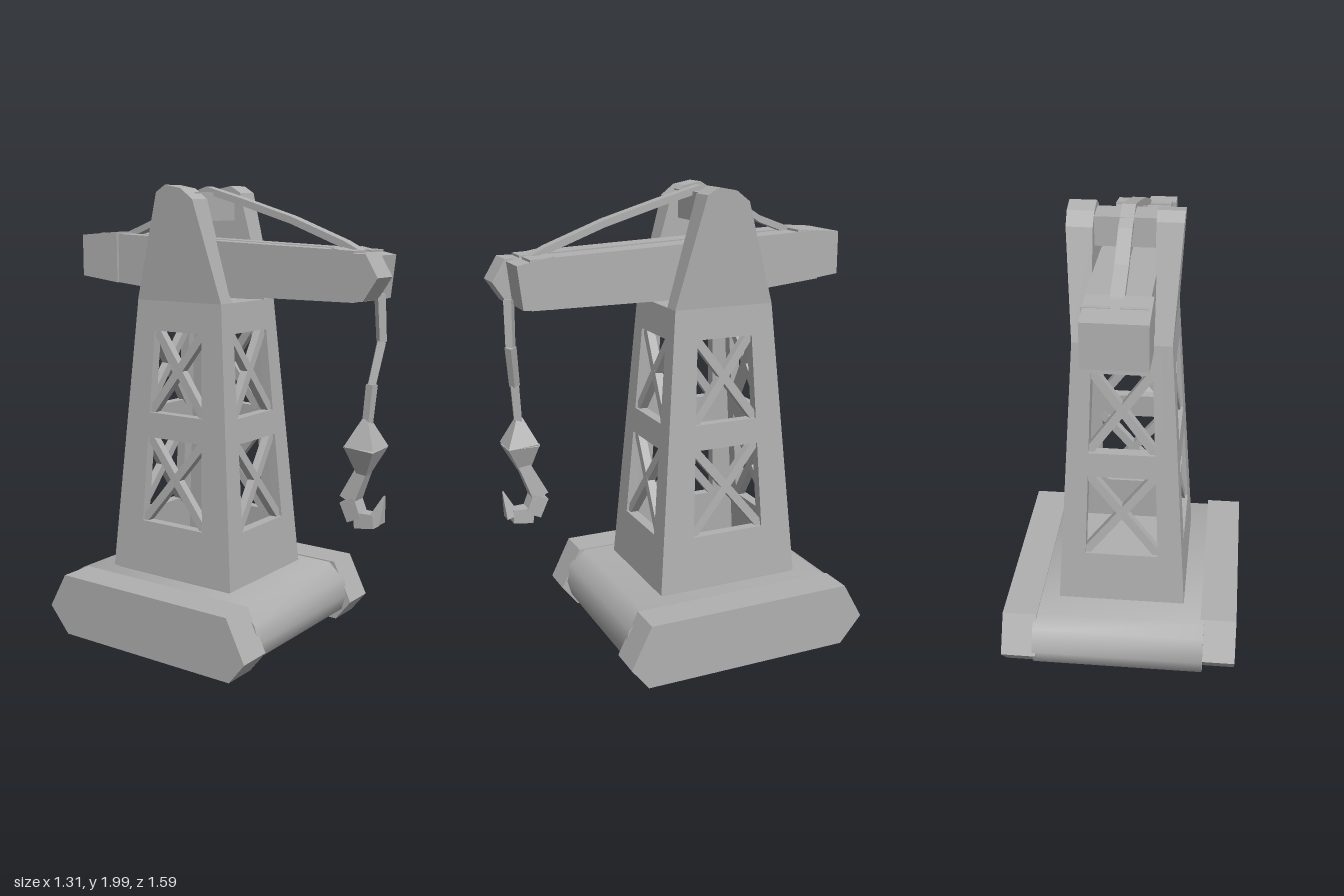
import * as THREE from 'three';
import { toCreasedNormals } from 'three/addons/utils/BufferGeometryUtils.js';

const steel = new THREE.MeshStandardMaterial({ color: 0xb0b0b0 });
steel.name = 'steel grey';

const V = (x, y, z) => new THREE.Vector3(x, y, z);

function add(parent, name, geometry) {
  const mesh = new THREE.Mesh(geometry, steel);
  mesh.name = name;
  parent.add(mesh);
  return mesh;
}

function flat(geometry) {
  const g = geometry.index ? geometry.toNonIndexed() : geometry;
  g.computeVertexNormals();
  return g;
}

// Side profile of [z, y] points, extruded across x
function prism(points, x0, x1) {
  const shape = new THREE.Shape(points.map(p => new THREE.Vector2(p[0], p[1])));
  const g = new THREE.ExtrudeGeometry(shape, { depth: x1 - x0, bevelEnabled: false });
  g.rotateY(-Math.PI / 2);
  g.translate(x1, 0, 0);
  return flat(g);
}

// Faceted, tapering bar between two points
function bar(a, b, r0, r1 = r0, sides = 4) {
  const dir = b.clone().sub(a);
  const g = new THREE.CylinderGeometry(r1, r0, dir.length(), sides);
  g.rotateY(Math.PI / 4);
  g.applyQuaternion(new THREE.Quaternion().setFromUnitVectors(V(0, 1, 0), dir.normalize()));
  const mid = a.clone().add(b).multiplyScalar(0.5);
  g.translate(mid.x, mid.y, mid.z);
  return flat(g);
}

// Tapered tower: centre, bottom and top heights, half sizes at each height
const CX = 0.028, CZ = -0.104, Y0 = 0.285, Y1 = 1.5;
const half = (y, wide) => {
  const t = (y - Y0) / (Y1 - Y0);
  return wide ? THREE.MathUtils.lerp(0.275, 0.2, t) : THREE.MathUtils.lerp(0.325, 0.224, t);
};

// Point on tower wall k: s runs -1..1 across, inset goes inward
function onWall(k, s, y, inset) {
  const p = V(s * half(y, k % 2 === 0), y, half(y, k % 2 === 1) - inset);
  return p.applyAxisAngle(V(0, 1, 0), k * Math.PI / 2).add(V(CX, 0, CZ));
}

function tower() {
  const group = new THREE.Group();
  group.name = 'tower';
  const windows = [[0.52, 0.9], [1.01, 1.37]];
  for (let k = 0; k < 4; k++) {
    const w = k % 2 ? 0.54 : 0.6;
    const rect = (s, a, b) => [[-s, a], [s, a], [s, b], [-s, b]].map(p => new THREE.Vector2(...p));
    const shape = new THREE.Shape(rect(1, Y0, Y1));
    for (const [a, b] of windows) shape.holes.push(new THREE.Path(rect(w, a, b)));
    const g = new THREE.ExtrudeGeometry(shape, { depth: 1, bevelEnabled: false });
    const pos = g.attributes.position;
    for (let i = 0; i < pos.count; i++) {
      const p = onWall(k, pos.getX(i), pos.getY(i), 0.045 * (1 - pos.getZ(i)));
      pos.setXYZ(i, p.x, p.y, p.z);
    }
    add(group, 'towerWall', flat(g));
    // crossed braces in each opening
    for (const [a, b] of windows) {
      for (const d of [-1, 1]) {
        add(group, 'crossBrace',
          bar(onWall(k, -d * w * 1.05, a - 0.01, 0.03), onWall(k, d * w * 1.05, b + 0.01, 0.03), 0.026));
      }
    }
  }
  // deck under the jib
  const deck = new THREE.BoxGeometry(0.39, 0.03, 0.43);
  deck.translate(CX, Y1 - 0.02, CZ);
  add(group, 'deck', deck);
  // twin upright cheeks that hold the jib
  const cheek = [[0.121, Y1], [-0.01, 1.96], [-0.06, 1.99], [-0.14, 1.975], [-0.2, 1.93], [-0.328, Y1]];
  for (const side of [-1, 1]) {
    const g = prism(cheek, 0.122, 0.2);
    const pos = g.attributes.position;
    for (let i = 0; i < pos.count; i++) {
      const outer = pos.getX(i) > 0.16 ? 0.03 * (pos.getY(i) - Y1) / 0.48 : 0;
      pos.setX(i, pos.getX(i) + outer);
    }
    if (side < 0) g.rotateY(Math.PI).translate(0, 0, 2 * CZ);
    g.translate(CX, 0, 0);
    add(group, 'cheek', flat(g));
  }
  add(group, 'topCrossbar', bar(V(CX - 0.16, 1.9, -0.1), V(CX + 0.16, 1.9, -0.1), 0.085));
  return group;
}

function base() {
  const group = new THREE.Group();
  group.name = 'base';
  const rail = back => [[back + 0.09, 0.28], [back, 0.12], [back + 0.1, 0.005],
    [0.38, 0.005], [0.455, 0.1], [0.365, 0.28]];
  add(group, 'leftRail', prism(rail(-0.645), 0.385, 0.535));
  add(group, 'rightRail', prism(rail(-0.61), -0.48, -0.325));
  // rounded slab between the rails
  const slab = [[-0.54, 0.275], [-0.6, 0.235], [-0.64, 0.14], [-0.61, 0.06], [-0.55, 0.025],
    [0.36, 0.025], [0.41, 0.06], [0.43, 0.13], [0.41, 0.21], [0.34, 0.275]];
  add(group, 'slab', toCreasedNormals(prism(slab, -0.34, 0.4), 0.85));
  const collar = new THREE.BoxGeometry(0.52, 0.04, 0.62);
  collar.translate(CX, 0.28, CZ);
  add(group, 'collar', collar);
  return group;
}

function jib() {
  const group = new THREE.Group();
  group.name = 'jib';
  // two parallel beams with a narrow slot between
  const beam = [[-0.6, 1.785], [-0.6, 1.575], [-0.3, 1.545], [0.0, 1.53], [0.7, 1.53], [0.7, 1.73]];
  add(group, 'jibBeam', prism(beam, -0.1, 0.005));
  add(group, 'jibBeam', prism(beam, 0.04, 0.147));
  const floor = [[-0.6, 1.7], [-0.6, 1.6], [0.0, 1.56], [0.7, 1.56], [0.7, 1.65]];
  add(group, 'jibWeb', prism(floor, 0, 0.045));
  add(group, 'counterweight',
    prism([[-0.705, 1.775], [-0.705, 1.59], [-0.5, 1.565], [-0.5, 1.79]], -0.112, 0.14));
  // blunt head with a pointed pulley nose
  add(group, 'jibHead', prism([[0.6, 1.74], [0.6, 1.53], [0.735, 1.535], [0.755, 1.71]], -0.1, 0.152));
  add(group, 'jibNose',
    prism([[0.68, 1.72], [0.7, 1.535], [0.755, 1.54], [0.815, 1.63], [0.76, 1.72]], -0.118, 0.005));
  // bowed tie straps from the tower top to both ends of the jib
  const straps = [
    [[-0.08, 1.985], [0.1, 1.935], [0.35, 1.86], [0.6, 1.765], [0.73, 1.7]],
    [[-0.08, 1.985], [-0.22, 1.94], [-0.36, 1.85], [-0.52, 1.79], [-0.64, 1.77]],
  ];
  for (const s of straps) {
    const lower = s.map(([z, y]) => [z, y - 0.03]).reverse();
    add(group, 'tieStrap', prism([...s, ...lower], -0.005, 0.05));
  }
  return group;
}

function hoist() {
  const group = new THREE.Group();
  group.name = 'hoist';
  // slightly slack cable
  const cable = [V(0.02, 1.56, 0.755), V(0.035, 1.37, 0.76), V(0.0, 1.2, 0.74), V(-0.01, 1.02, 0.728)];
  for (let i = 0; i < 3; i++) add(group, 'cable', bar(cable[i], cable[i + 1], 0.024, 0.022));
  // diamond block
  add(group, 'hookBlock', bar(V(-0.01, 0.945, 0.725), V(-0.01, 1.06, 0.725), 0.095, 0.018));
  add(group, 'hookBlock', bar(V(-0.005, 0.83, 0.715), V(-0.01, 0.945, 0.725), 0.03, 0.095));
  // C-shaped hook opening to the front
  const hook = [[0.72, 0.86, 0.035], [0.655, 0.715, 0.05], [0.69, 0.635, 0.048],
    [0.775, 0.64, 0.04], [0.81, 0.75, 0.004]];
  for (let i = 0; i < hook.length - 1; i++) {
    const [z0, y0, r0] = hook[i], [z1, y1, r1] = hook[i + 1];
    add(group, 'hook', bar(V(0, y0, z0), V(0, y1, z1), r0, r1));
  }
  return group;
}

export function createModel() {
  const model = new THREE.Group();
  model.name = 'towerCrane';
  const crane = new THREE.Group();
  crane.name = 'crane';
  crane.add(base(), tower(), jib(), hoist());
  crane.rotation.y = 0.33;
  model.add(crane);
  return model;
}
